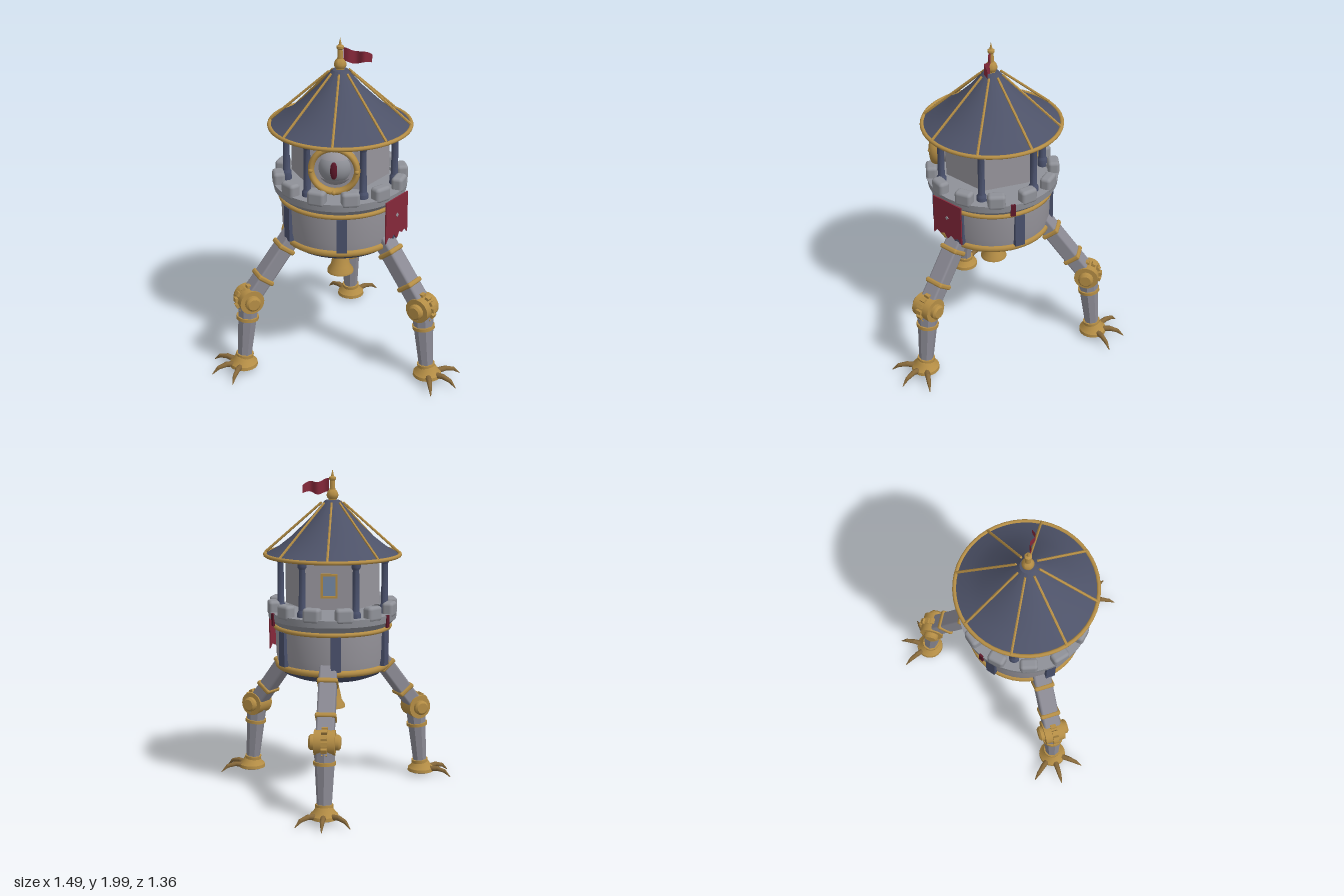
import * as THREE from 'three';
import { toCreasedNormals } from 'three/addons/utils/BufferGeometryUtils.js';
import { RoundedBoxGeometry } from 'three/addons/geometries/RoundedBoxGeometry.js';

const paint = (name, color, side = THREE.FrontSide) => {
  const m = new THREE.MeshStandardMaterial({ color, side });
  m.name = name;
  return m;
};
const STONE = paint('stone', 0x96949b);
const PARAPET = paint('parapet stone', 0x8f9198);
const STEEL = paint('leg steel', 0x8b8a94);
const SLATE = paint('roof slate', 0x4d5268);
const BLUE = paint('trim blue', 0x49506b);
const GOLD = paint('brass', 0xb48d45);
const BRONZE = paint('claw bronze', 0x86683a);
const RED = paint('banner red', 0x85283a, THREE.DoubleSide);
const MAROON = paint('dark red', 0x5c1729);
const GLASS = paint('window glass', 0x7488a3);

const V = (x, y, z) => new THREE.Vector3(x, y, z);
const rad = THREE.MathUtils.degToRad;

function add(parent, name, geo, mat, x = 0, y = 0, z = 0) {
  const m = new THREE.Mesh(geo, mat);
  m.name = name;
  m.position.set(x, y, z);
  parent.add(m);
  return m;
}
// Group whose local +z points outward at the given azimuth (0 = front)
function spoke(parent, name, deg) {
  const g = new THREE.Group();
  g.name = name;
  g.rotation.y = rad(deg);
  parent.add(g);
  return g;
}
const lathe = (pts, seg = 48) =>
  toCreasedNormals(new THREE.LatheGeometry(pts.map(p => new THREE.Vector2(p[0], p[1])), seg), 0.6);

function ring(parent, name, r, y, tube, squash = 1) {
  const m = add(parent, name, new THREE.TorusGeometry(r, tube, 10, 48), GOLD, 0, y, 0);
  m.rotation.x = Math.PI / 2;
  m.scale.z = squash;
}
// Any upright geometry laid along the line from a to b
function along(parent, name, geo, a, b, mat) {
  const m = add(parent, name, geo, mat);
  m.position.copy(a).lerp(b, 0.5);
  m.quaternion.setFromUnitVectors(V(0, 1, 0), b.clone().sub(a).normalize());
}
// Tapered bar from a to b
function bar(parent, name, a, b, ra, rb, sides, mat, crease = 0.6) {
  const geo = new THREE.CylinderGeometry(rb, ra, a.distanceTo(b), sides);
  along(parent, name, toCreasedNormals(geo, crease), a, b, mat);
}

function buildHull(t) {
  add(t, 'lowerDrum', lathe([[0.33, 0.8], [0.345, 0.88], [0.35, 1.05]]), STONE);
  add(t, 'hullBowl', lathe([[0, 0.725], [0.14, 0.728], [0.24, 0.74], [0.3, 0.765], [0.335, 0.81]]), BLUE);
  ring(t, 'lowerBand', 0.335, 0.812, 0.017, 1.2);
  ring(t, 'upperBand', 0.352, 1.05, 0.014);
  for (let i = 0; i < 6; i++) {
    const s = spoke(t, 'hullPilaster', 7.5 + 60 * i);
    add(s, 'pilaster', new THREE.BoxGeometry(0.06, 0.21, 0.03), BLUE, 0, 0.935, 0.35);
  }
  // battlement walk and merlons
  add(t, 'parapet', lathe([[0.34, 1.055], [0.365, 1.075], [0.39, 1.1], [0.395, 1.145], [0.335, 1.145],
    [0.335, 1.125], [0, 1.125]]), PARAPET);
  for (let i = 0; i < 12; i++) {
    const s = spoke(t, 'merlon', 15 + 30 * i);
    add(s, 'merlonBlock', new RoundedBoxGeometry(0.105, 0.09, 0.068, 3, 0.02), PARAPET, 0, 1.168, 0.364);
  }
  for (const a of [-119, 119])
    add(spoke(t, 'parapetSlit', a), 'slit', new THREE.BoxGeometry(0.028, 0.075, 0.012), MAROON, 0, 1.11, 0.393);
  // hanging bell
  add(t, 'bell', lathe([[0, 0.55], [0.06, 0.55], [0.08, 0.53], [0.078, 0.545], [0.058, 0.575], [0.048, 0.63],
    [0.038, 0.665], [0.018, 0.68], [0, 0.682]], 24), GOLD);
  bar(t, 'bellRod', V(0, 0.67, 0), V(0, 0.74, 0), 0.009, 0.009, 8, GOLD);
  add(t, 'bellClapper', new THREE.SphereGeometry(0.018, 12, 8), BRONZE, 0, 0.54, 0);
}

function buildBanner(t) {
  const s = spoke(t, 'banner', 60);
  const w = 0.11, shape = new THREE.Shape();
  shape.moveTo(w, 1.125);
  shape.lineTo(-w, 1.125);
  for (let i = 0; i <= 8; i++) shape.lineTo(-w + (i * w) / 4, i % 2 ? 0.9 : 0.868 + 0.008 * (i % 4));
  add(s, 'bannerCloth', new THREE.ExtrudeGeometry(shape, { depth: 0.008, bevelEnabled: false }), RED, 0, 0, 0.396);
  const d = add(s, 'bannerStud', new THREE.BoxGeometry(0.018, 0.018, 0.006), STONE, 0, 1.015, 0.405);
  d.rotation.z = Math.PI / 4;
}

function buildLantern(t) {
  // six-sided wall raised slightly above the walk
  const wall = new THREE.CylinderGeometry(0.287, 0.287, 0.285, 6);
  add(t, 'upperWall', toCreasedNormals(wall, 0.5), STONE, 0, 1.3275, 0).rotation.y = Math.PI / 6;
  for (let i = 0; i < 6; i++) {
    const s = spoke(t, 'column', 30 + 60 * i);
    add(s, 'columnShaft', lathe([[0.03, 1.12], [0.03, 1.17], [0.021, 1.185], [0.019, 1.43], [0.028, 1.445],
      [0.028, 1.48]], 16), BLUE, 0, 0, 0.318);
  }
  // rear window
  const win = spoke(t, 'rearWindow', 180);
  add(win, 'windowPane', new THREE.BoxGeometry(0.076, 0.12, 0.008), GLASS, 0, 1.33, 0.251);
  for (const k of [-1, 1]) {
    add(win, 'windowJamb', new THREE.BoxGeometry(0.013, 0.142, 0.022), GOLD, k * 0.043, 1.33, 0.256);
    add(win, 'windowRail', new THREE.BoxGeometry(0.099, 0.013, 0.022), GOLD, 0, 1.33 + k * 0.066, 0.256);
  }
}

function buildEye(t) {
  const e = new THREE.Group();
  e.name = 'eye';
  e.position.set(0, 1.33, 0);
  t.add(e);
  const socket = add(e, 'eyeSocket', new THREE.CylinderGeometry(0.128, 0.128, 0.06, 32), STONE, 0, 0, 0.265);
  socket.rotation.x = Math.PI / 2;
  const frame = add(e, 'eyeRing', new THREE.TorusGeometry(0.13, 0.018, 12, 40), GOLD, 0, 0, 0.325);
  frame.scale.z = 1.6;
  add(e, 'eyeball', new THREE.SphereGeometry(0.108, 32, 20), PARAPET, 0, 0, 0.238);
  for (const k of [0, 1]) {
    const lid = add(e, k ? 'lowerLid' : 'upperLid',
      new THREE.SphereGeometry(0.118, 32, 10, 0, Math.PI * 2, 0, rad(60)), STONE, 0, 0, 0.238);
    lid.rotation.z = k * Math.PI;
  }
  add(e, 'pupil', new THREE.SphereGeometry(1, 16, 12), MAROON, 0, 0, 0.338).scale.set(0.022, 0.053, 0.014);
  for (let i = 0; i < 4; i++) {
    const a = (i * Math.PI) / 2;
    add(e, 'eyeBolt', new THREE.SphereGeometry(0.014, 10, 8), GOLD, Math.cos(a) * 0.13, Math.sin(a) * 0.13, 0.346);
  }
}

function buildRoof(t) {
  add(t, 'roof', lathe([[0, 1.47], [0.3, 1.47], [0.412, 1.485], [0.33, 1.53], [0.25, 1.594], [0.13, 1.71],
    [0.045, 1.812], [0, 1.82]], 56), SLATE);
  ring(t, 'roofRim', 0.41, 1.487, 0.012);
  for (let i = 0; i < 8; i++)
    bar(spoke(t, 'roofRib', 45 * i), 'rib', V(0, 1.8, 0.065), V(0, 1.495, 0.41), 0.007, 0.008, 6, GOLD);
  add(t, 'finial', lathe([[0, 1.8], [0.03, 1.808], [0.024, 1.818], [0.034, 1.832], [0.036, 1.846], [0.029, 1.865],
    [0.017, 1.878], [0.014, 1.93], [0.021, 1.938], [0.021, 1.95], [0.009, 1.958], [0, 2]], 20), GOLD);
  // rippling pennant
  const flag = new THREE.PlaneGeometry(0.16, 0.08, 18, 3), p = flag.attributes.position;
  for (let i = 0; i < p.count; i++) {
    const u = p.getX(i) / 0.16 + 0.5;
    p.setZ(i, 0.015 * Math.sin(u * 11) * (0.4 + 0.6 * u));
    p.setY(i, p.getY(i) * (1 - 0.4 * u * u) + 0.008 * Math.sin(u * 9 + 1) - 0.014 * u);
  }
  flag.computeVertexNormals();
  add(t, 'pennant', flag, RED, 0.1, 1.897, 0);
}

function buildLeg(t, deg) {
  const leg = spoke(t, 'leg', deg);
  const hip = V(0, 0.85, 0.3), knee = V(0, 0.47, 0.592), ankle = V(0, 0.07, 0.632);
  const span = (a, b, k, len) => {
    const h = len / a.distanceTo(b) / 2;
    return [a.clone().lerp(b, k - h), a.clone().lerp(b, k + h)];
  };
  // boxy thigh with squared bands
  along(leg, 'thigh', new RoundedBoxGeometry(0.108, hip.distanceTo(knee), 0.092, 1, 0.014), hip, knee, STEEL);
  for (const k of [0.22, 0.68])
    along(leg, 'thighBand', new RoundedBoxGeometry(0.126, 0.03, 0.112, 2, 0.012), ...span(hip, knee, k, 0.03), GOLD);
  // tapered shin with round bands
  bar(leg, 'shin', knee, ankle, 0.066, 0.042, 8, STEEL, 0.3);
  for (const [k, r] of [[0.3, 0.067], [0.93, 0.053]])
    bar(leg, 'shinBand', ...span(knee, ankle, k, 0.02), r, r, 16, GOLD);
  // knee hub with side bosses and outer teeth
  const at = x => V(x, knee.y, knee.z);
  bar(leg, 'kneeHub', at(-0.062), at(0.062), 0.074, 0.074, 24, GOLD);
  for (const k of [-1, 1]) {
    bar(leg, 'kneeBoss', at(k * 0.05), at(k * 0.083), 0.046, 0.046, 16, GOLD);
    bar(leg, 'kneeBossCap', at(k * 0.083), at(k * 0.094), 0.046, 0.034, 16, GOLD);
  }
  for (let i = 0; i < 6; i++) {
    const a = rad(-50 + 28 * i);
    const tooth = add(leg, 'kneeTooth', new THREE.BoxGeometry(0.035, 0.024, 0.026), GOLD,
      0, knee.y + Math.sin(a) * 0.077, knee.z + Math.cos(a) * 0.077);
    tooth.rotation.x = -a;
  }
  // foot with three curved claws
  const foot = new THREE.Group();
  foot.name = 'foot';
  foot.position.set(0, 0, 0.638);
  leg.add(foot);
  add(foot, 'footPad', lathe([[0.07, 0.025], [0.085, 0.03], [0.083, 0.05], [0.064, 0.068], [0.052, 0.09],
    [0.045, 0.1]], 20), GOLD);
  add(foot, 'footSole', new THREE.CylinderGeometry(0.074, 0.07, 0.012, 20), STEEL, 0, 0.029, 0);
  for (const [a, len] of [[0, 0.2], [51, 0.206], [-51, 0.206]]) {
    const toe = spoke(foot, 'toe', a);
    const pts = [V(0, 0.045, 0.05), V(0, 0.054, len * 0.55), V(0, 0.043, len * 0.8), V(0, 0.008, len)];
    const r = [0.019, 0.016, 0.012, 0.002];
    for (let i = 0; i < 3; i++) {
      bar(toe, 'claw', pts[i], pts[i + 1], r[i], r[i + 1], 8, BRONZE, 0.9);
      if (i) add(toe, 'clawJoint', new THREE.SphereGeometry(r[i] * 1.02, 8, 6), BRONZE).position.copy(pts[i]);
    }
  }
}

export function createModel() {
  const model = new THREE.Group();
  model.name = 'walkingTower';
  const tower = new THREE.Group();
  tower.name = 'tower';
  tower.position.z = 0.16;
  model.add(tower);
  buildHull(tower);
  buildBanner(tower);
  buildLantern(tower);
  buildEye(tower);
  buildRoof(tower);
  for (const deg of [60, -60, 180]) buildLeg(tower, deg);
  return model;
}
